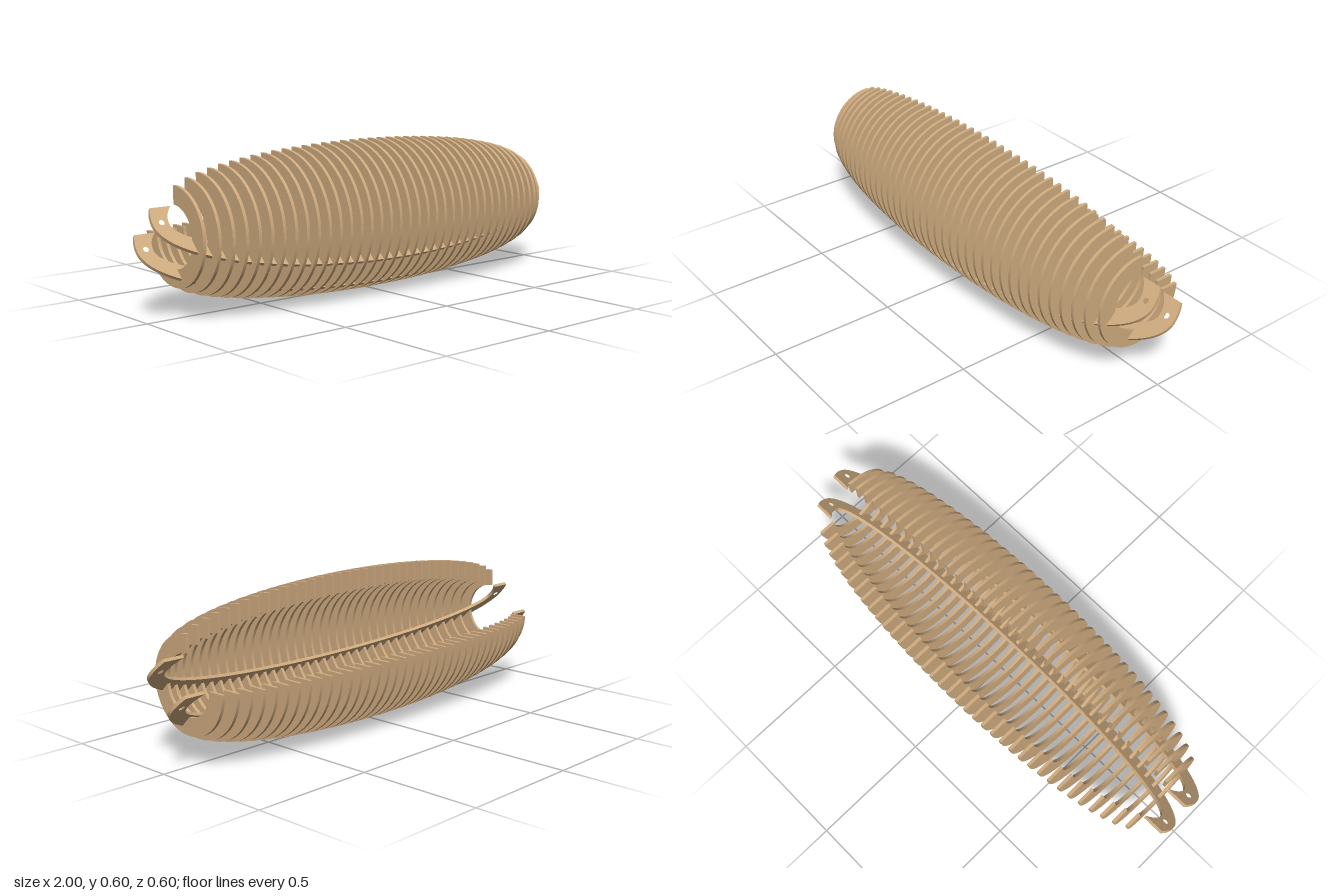
import * as THREE from 'three';
import { toCreasedNormals } from 'three/addons/utils/BufferGeometryUtils.js';

const AXIS_Y = 0.3; // height of the long axis
const RIBS_PER_SIDE = 18;
const RIB_SPACING = 0.0485;
const THICKNESS = 0.013;

// Extrude a flat outline into a sheet centred on its own plane
function sheet(shape, curveSegments) {
  const geo = new THREE.ExtrudeGeometry(shape, { depth: THICKNESS, bevelEnabled: false, curveSegments });
  geo.translate(0, 0, -THICKNESS / 2);
  return toCreasedNormals(geo, 0.5);
}

// Three-quarter ring, open at the upper back
function ribGeometry(x) {
  const drop = 1 - Math.sqrt(1 - (x / 0.9) ** 2);
  const outer = 0.3 - 0.15 * drop;
  const inner = 0.22 - 0.136 * drop;
  const shape = new THREE.Shape();
  shape.absarc(0, 0, outer, Math.PI, Math.PI * 2.5, false);
  shape.absarc(0, 0, inner, Math.PI * 2.5, Math.PI, true);
  shape.closePath();
  return sheet(shape, 72).rotateY(-Math.PI / 2);
}

// Long crescent with blunt ends and a bolt hole in each
function railGeometry() {
  const tip = 0.077;
  const shape = new THREE.Shape();
  shape.moveTo(0.98, tip);
  shape.quadraticCurveTo(1, 0.04, 1, 0);
  shape.absellipse(0, 0, 1, 0.285, 0, Math.PI, true);
  shape.quadraticCurveTo(-1, 0.04, -0.98, tip);
  shape.lineTo(-0.895, tip);
  shape.quadraticCurveTo(-0.935, 0.04, -0.935, 0);
  shape.absellipse(0, 0, 0.935, 0.19, Math.PI, Math.PI * 2, false);
  shape.quadraticCurveTo(0.935, 0.04, 0.895, tip);
  shape.closePath();
  for (const side of [-1, 1]) {
    const hole = new THREE.Path();
    hole.absarc(side * 0.962, 0.01, 0.011, 0, Math.PI * 2, true);
    shape.holes.push(hole);
  }
  return sheet(shape, 64);
}

export function createModel() {
  const model = new THREE.Group();
  model.name = 'ribbedShell';
  const wood = new THREE.MeshStandardMaterial({ color: 0xd0ac80 });
  wood.name = 'plywood';

  // Ribs along the long axis
  const ribs = new THREE.Group();
  ribs.name = 'ribs';
  ribs.position.y = AXIS_Y;
  for (let i = -RIBS_PER_SIDE; i <= RIBS_PER_SIDE; i++) {
    const rib = new THREE.Mesh(ribGeometry(i * RIB_SPACING), wood);
    rib.name = 'rib';
    rib.position.x = i * RIB_SPACING;
    ribs.add(rib);
  }
  model.add(ribs);

  // Two parallel rails tilted at 45 degrees, slotted through the ribs
  const rails = new THREE.Group();
  rails.name = 'rails';
  rails.position.y = AXIS_Y;
  rails.rotation.x = -Math.PI / 4;
  const geo = railGeometry();
  for (const [name, offset] of [['upperRail', 0.078], ['lowerRail', -0.078]]) {
    const rail = new THREE.Mesh(geo, wood);
    rail.name = name;
    rail.position.z = offset;
    rails.add(rail);
  }
  model.add(rails);
  return model;
}
